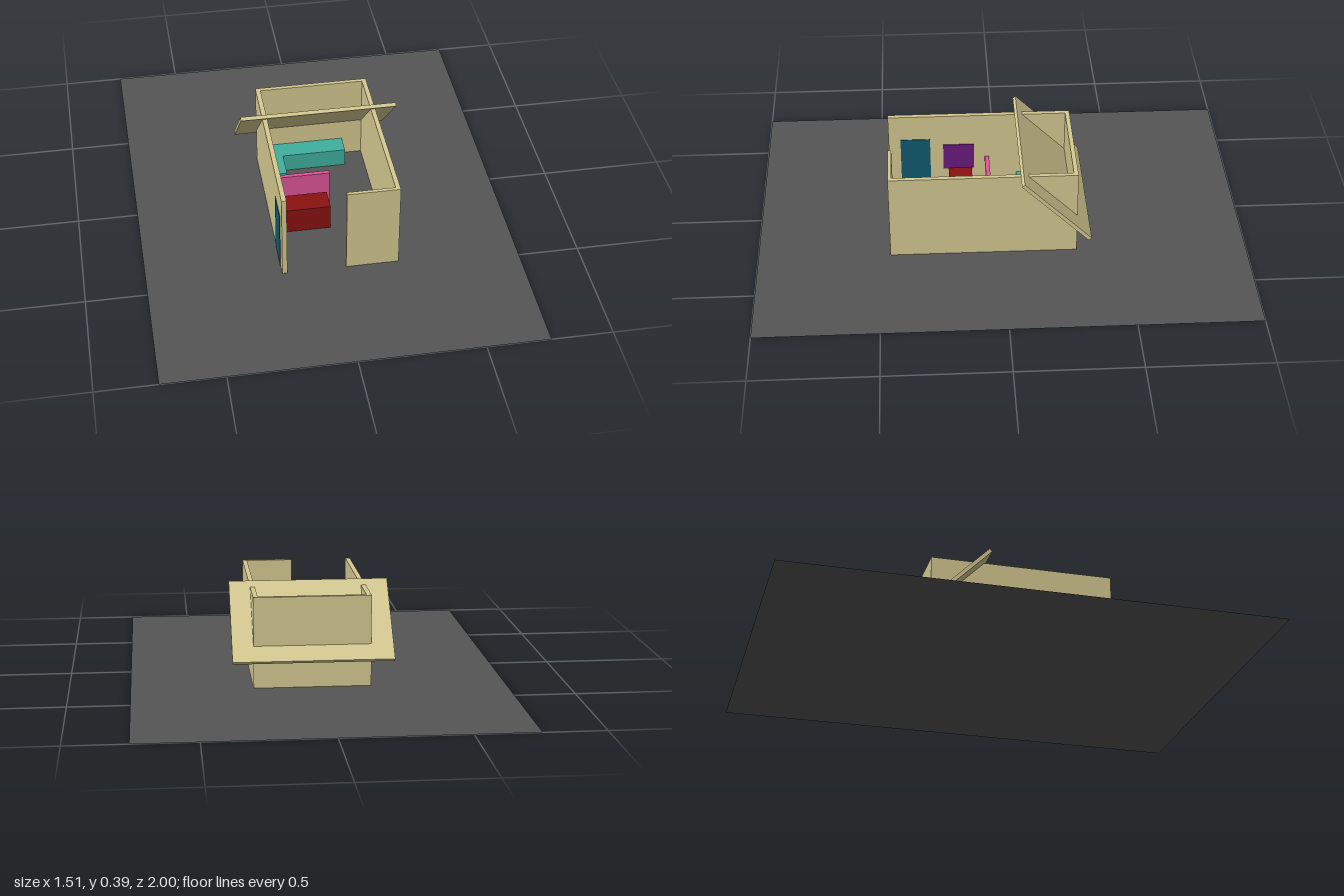
import * as THREE from 'three';

export function createModel() {
  const model = new THREE.Group();
  const materials = {};
  const paint = (color) => (materials[color] ??= new THREE.MeshStandardMaterial({ color }));
  const TAN = 0xd6ca92, TEAL = 0x40b0a0;

  // Box given by its minimum and maximum corners
  function block(name, color, [x0, y0, z0], [x1, y1, z1]) {
    const mesh = new THREE.Mesh(new THREE.BoxGeometry(x1 - x0, y1 - y0, z1 - z0), paint(color));
    mesh.position.set((x0 + x1) / 2, (y0 + y1) / 2, (z0 + z1) / 2);
    mesh.name = name;
    model.add(mesh);
    return mesh;
  }

  // Ground sheet
  const ground = new THREE.Mesh(
    new THREE.PlaneGeometry(1.51, 2),
    new THREE.MeshStandardMaterial({ color: 0x555555, side: THREE.DoubleSide })
  );
  ground.rotation.x = -Math.PI / 2;
  ground.name = 'ground';
  model.add(ground);

  // Walls: two long sides, full back, half front beside the open entrance
  const b = 0.001, h = 0.373;
  block('rightWall', TAN, [-0.21, b, -0.285], [-0.19, h, 0.46]);
  block('leftWall', TAN, [0.245, b, -0.285], [0.264, h, 0.46]);
  block('backWall', TAN, [-0.21, b, -0.303], [0.264, h, -0.285]);
  block('frontWall', TAN, [0.05, b, 0.445], [0.245, h, 0.46]);

  // Leaning roof panel, cut through by the back of the walls
  const roof = block('roof', TAN, [-0.3, 0.245, -0.405], [0.35, 0.261, -0.02]);
  roof.rotation.x = -Math.PI / 4;

  // Door and picture on the right wall
  block('door', 0x0f5a70, [-0.212, b, 0.285], [-0.187, 0.26, 0.41]);
  block('wallPicture', 0x6a1a80, [-0.195, 0.11, 0.1], [-0.186, 0.23, 0.23]);

  // Furniture
  block('partition', 0xe0559a, [-0.19, b, 0.036], [0.05, 0.165, 0.054]);
  block('bench', 0x8b1212, [-0.188, b, 0.11], [0.028, 0.112, 0.208]);
  block('cabinet', 0x2a5fb0, [0.14, b, 0.228], [0.246, 0.125, 0.445]);
  block('cornerSeatBack', TEAL, [-0.19, b, -0.285], [0.16, 0.08, -0.2]);
  block('cornerSeatSide', TEAL, [-0.19, b, -0.2], [-0.11, 0.08, -0.08]);

  return model;
}
